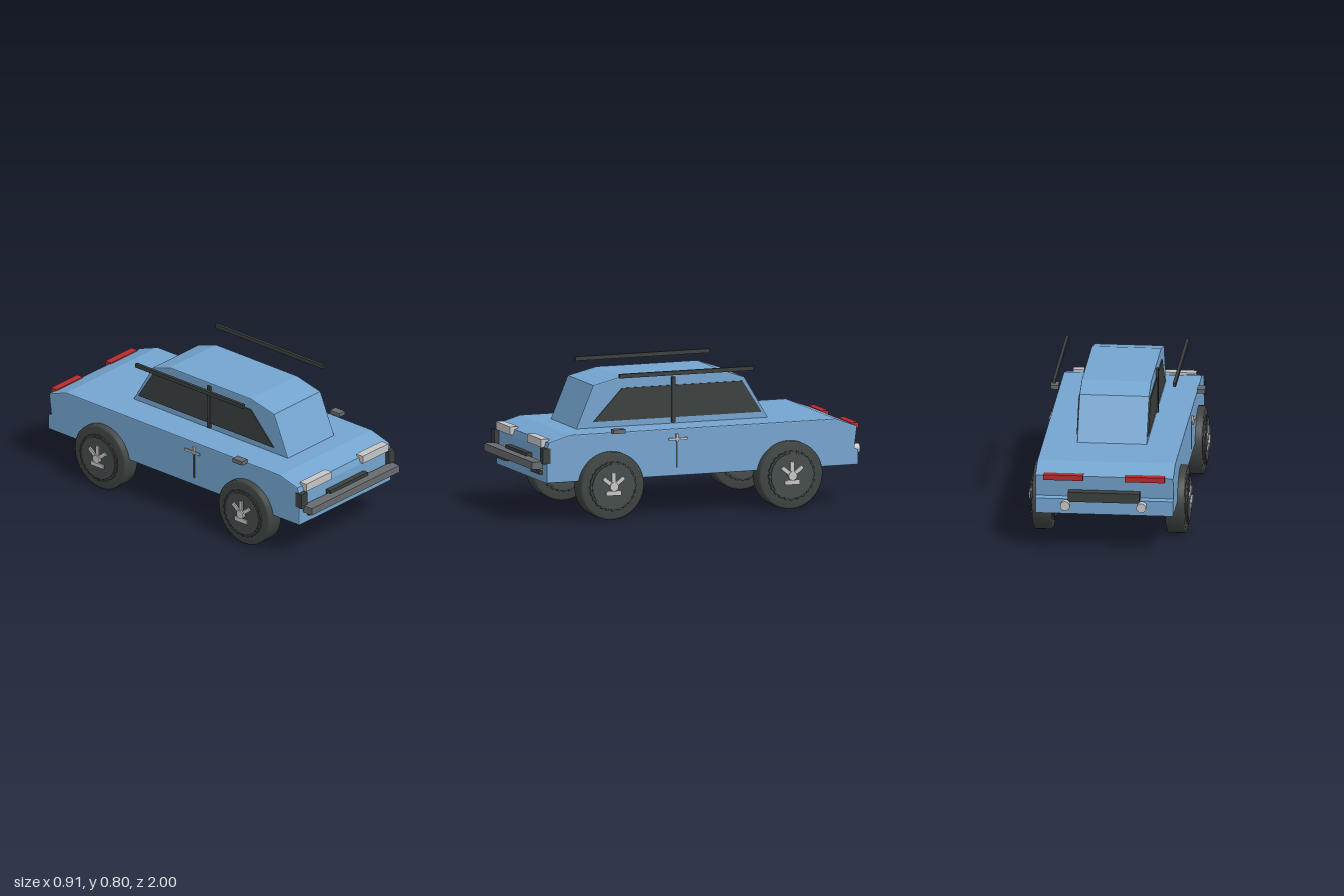
import * as THREE from 'three';

const mat = (name, color) => {
  const m = new THREE.MeshStandardMaterial({ color });
  m.name = name;
  return m;
};

export function createModel() {
  const blue = mat('bodyBlue', 0x74a5d0);
  const dark = mat('darkTrim', 0x3a3f3e);
  const rubber = mat('tyreRubber', 0x3e4442);
  const rimGrey = mat('rimGrey', 0x454b4b);
  const grey = mat('bumperGrey', 0x676b6f);
  const chrome = mat('chrome', 0xc6c6c6);
  const red = mat('tailRed', 0xb52b2e);

  const car = new THREE.Group();
  car.name = 'car';

  const add = (parent, name, geo, material, x = 0, y = 0, z = 0) => {
    const m = new THREE.Mesh(geo, material);
    m.name = name;
    m.position.set(x, y, z);
    parent.add(m);
    return m;
  };

  // Box given by its min/max extents
  const box = (name, material, x0, x1, y0, y1, z0, z1) =>
    add(car, name, new THREE.BoxGeometry(Math.abs(x1 - x0), y1 - y0, Math.abs(z1 - z0)),
      material, (x0 + x1) / 2, (y0 + y1) / 2, (z0 + z1) / 2);

  // Side outline of [z, y] points, extruded across the width and centred on x
  const sideExtrude = (points, width, bevel) => {
    const shape = new THREE.Shape(points.map(([z, y]) => new THREE.Vector2(z, y)));
    const geo = new THREE.ExtrudeGeometry(shape, {
      depth: width - 2 * bevel, bevelEnabled: bevel > 0,
      bevelSize: bevel, bevelThickness: bevel, bevelOffset: -bevel, bevelSegments: 2,
    });
    geo.translate(0, 0, -(width - 2 * bevel) / 2);
    geo.rotateY(-Math.PI / 2);
    return geo;
  };

  // Body shell and cabin
  add(car, 'body', sideExtrude([
    [0.92, 0.22], [0.92, 0.41], [0.91, 0.447], [0.78, 0.484], [-0.8, 0.484],
    [-0.926, 0.437], [-0.91, 0.315], [-0.932, 0.305], [-0.932, 0.22],
  ], 0.77, 0.006), blue);
  add(car, 'cabin', sideExtrude([
    [0.685, 0.45], [0.57, 0.722], [0.4, 0.762], [-0.2, 0.762], [-0.33, 0.718], [-0.49, 0.45],
  ], 0.39, 0.006), blue);

  // Front: grille and bumper
  box('grille', dark, -0.157, 0.157, 0.285, 0.36, 0.9, 0.953);
  box('frontBumper', grey, -0.367, 0.367, 0.3, 0.342, 0.935, 1);

  // Rear: dark bumper bar
  box('rearBar', dark, -0.2, 0.2, 0.3, 0.355, -0.905, -0.968);

  // Mirrored parts
  for (const s of [-1, 1]) {
    const side = s > 0 ? 'left' : 'right';
    const pair = (name, m, x0, x1, ...rest) => box(side + name, m, s * x0, s * x1, ...rest);

    add(car, side + 'Window', sideExtrude([
      [0.57, 0.518], [0.4, 0.698], [-0.315, 0.698], [-0.43, 0.518],
    ], 0.008, 0), dark, s * 0.197, 0, 0);
    pair('Pillar', dark, 0.19, 0.207, 0.49, 0.745, 0.084, 0.106);
    pair('RoofRail', dark, 0.326, 0.343, 0.777, 0.8, -0.325, 0.47);
    pair('Mirror', grey, 0.385, 0.43, 0.482, 0.505, 0.47, 0.54);
    pair('DoorSeam', dark, 0.38, 0.388, 0.265, 0.43, 0.143, 0.152);
    pair('DoorHandle', chrome, 0.394, 0.403, 0.422, 0.434, 0.09, 0.2);
    pair('HandleStem', chrome, 0.38, 0.398, 0.412, 0.456, 0.143, 0.155);
    pair('Headlight', chrome, 0.13, 0.343, 0.418, 0.463, 0.89, 0.938);
    pair('CornerGuard', dark, 0.342, 0.39, 0.33, 0.416, 0.9, 0.945);
    pair('LowerVent', dark, 0.19, 0.317, 0.262, 0.282, 0.9, 0.94);
    pair('TailLight', red, 0.118, 0.337, 0.418, 0.448, -0.91, -0.953);

    const pipe = new THREE.CylinderGeometry(0.027, 0.027, 0.04, 20).rotateX(Math.PI / 2);
    add(car, side + 'Exhaust', pipe, chrome, s * 0.213, 0.284, -0.98);
  }

  // Wheel: axle along x, same detail on both faces
  const tyreGeo = new THREE.LatheGeometry([
    [0.1, -0.054], [0.178, -0.054], [0.19, -0.045], [0.19, 0.045], [0.178, 0.054], [0.1, 0.054],
  ].map(([r, h]) => new THREE.Vector2(r, h)), 40).rotateZ(-Math.PI / 2);
  const disc = (r, w, n) => new THREE.CylinderGeometry(r, r, w, n).rotateZ(Math.PI / 2);
  const makeWheel = () => {
    const wheel = new THREE.Group();
    wheel.name = 'wheel';
    add(wheel, 'tyre', tyreGeo, rubber);
    add(wheel, 'sidewallRing', disc(0.134, 0.124, 36), rubber);
    add(wheel, 'rimDisc', disc(0.124, 0.136, 36), rimGrey);
    add(wheel, 'hub', disc(0.025, 0.168, 20), chrome);
    for (const s of [-1, 1]) {
      // Small studs around the rim
      for (let i = 0; i < 24; i++) {
        const a = (i / 24) * Math.PI * 2;
        const stud = add(wheel, 'stud', new THREE.BoxGeometry(0.01, 0.01, 0.016), rubber,
          s * 0.06, Math.cos(a) * 0.134, Math.sin(a) * 0.134);
        stud.rotation.x = a;
      }
      // Three raised spokes and a wide foot
      for (const a of [-0.9, 0, 0.9]) {
        const spoke = new THREE.BoxGeometry(0.012, 0.075, 0.022).translate(0, 0.04, 0);
        add(wheel, 'spoke', spoke, chrome, s * 0.07).rotation.x = a;
      }
      add(wheel, 'spokeFoot', new THREE.BoxGeometry(0.012, 0.024, 0.09), chrome, s * 0.07, -0.038, 0);
    }
    return wheel;
  };
  for (const x of [-0.371, 0.371]) {
    for (const z of [0.545, -0.517]) {
      const wheel = makeWheel();
      wheel.position.set(x, 0.19, z);
      car.add(wheel);
    }
  }
  return car;
}
